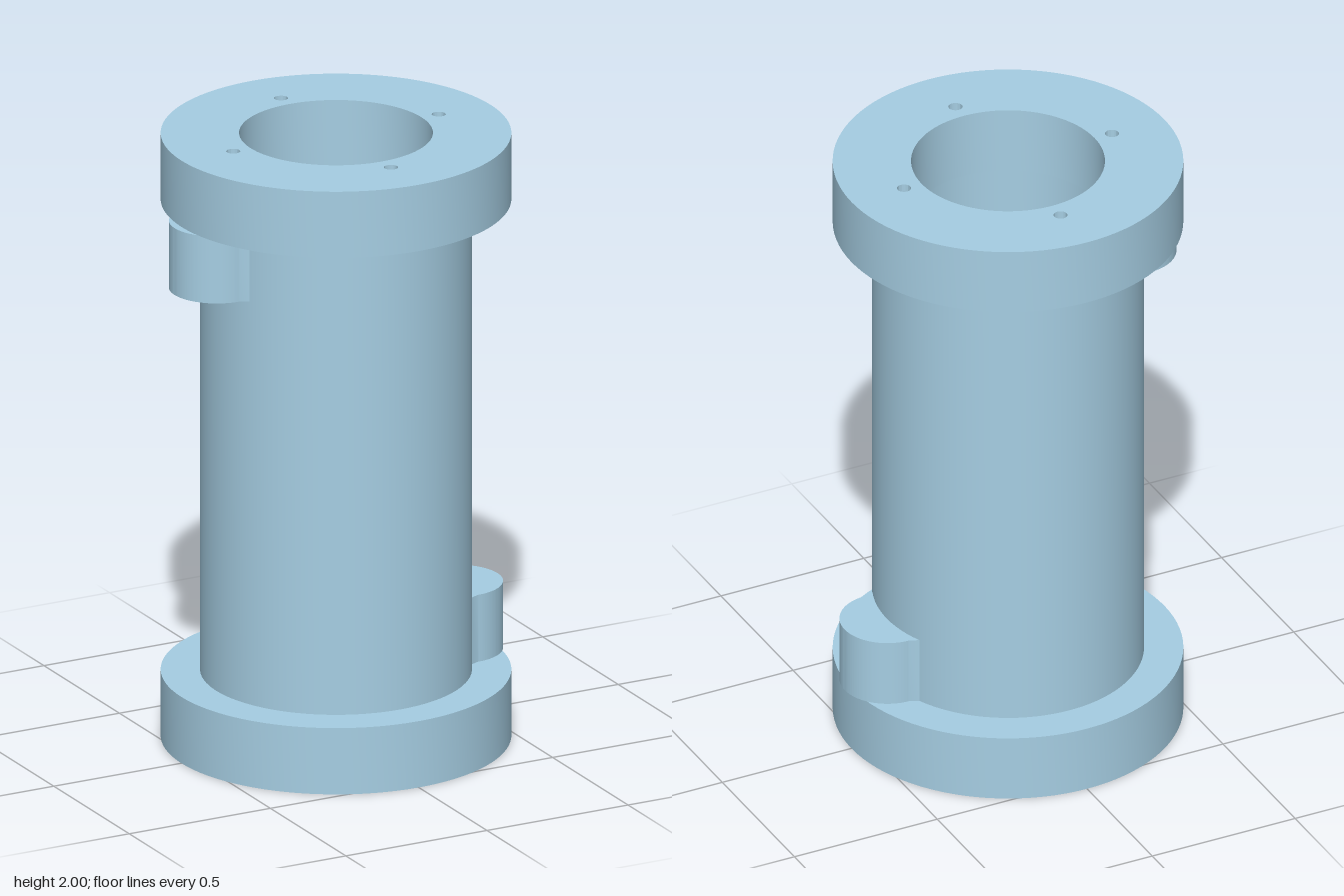
import * as THREE from 'three';
import { toCreasedNormals } from 'three/addons/utils/BufferGeometryUtils.js';

const FLANGE_R = 0.548, BODY_R = 0.425, BORE_R = 0.303;
const BOLT_R = 0.022, BOLT_CIRCLE = 0.364;
const HEIGHT = 2, FLANGE_H = 0.22, BOSS_H = 0.222;

const material = new THREE.MeshStandardMaterial({ color: 0xa6cee3 });

// Extrude a plan-view shape upwards from y = 0, smooth on the round walls
function extrudeUp(shape, height) {
  const geo = new THREE.ExtrudeGeometry(shape, { depth: height, bevelEnabled: false, curveSegments: 48 });
  geo.rotateX(-Math.PI / 2);
  return toCreasedNormals(geo, 0.4);
}

// Disc with the central bore and four bolt holes running through it
function boredDisc(radius) {
  const shape = new THREE.Shape().absarc(0, 0, radius, 0, Math.PI * 2);
  shape.holes.push(new THREE.Path().absarc(0, 0, BORE_R, 0, Math.PI * 2, true));
  for (let i = 0; i < 4; i++) {
    const a = i * Math.PI / 2;
    shape.holes.push(new THREE.Path().absarc(
      BOLT_CIRCLE * Math.cos(a), BOLT_CIRCLE * Math.sin(a), BOLT_R, 0, Math.PI * 2, true));
  }
  return shape;
}

// Half-round port boss with a flared foot that follows the barrel wall
function bossShape() {
  const a = 0.4, r = 0.15, cx = 0.422, wall = BODY_R - 0.003;
  const shape = new THREE.Shape();
  shape.moveTo(wall * Math.cos(a), -wall * Math.sin(a));
  shape.lineTo(cx, -r);
  shape.absarc(cx, 0, r, -Math.PI / 2, Math.PI / 2);
  shape.lineTo(wall * Math.cos(a), wall * Math.sin(a));
  shape.absarc(0, 0, wall, a, -a, true);
  return shape;
}

export function createModel() {
  const model = new THREE.Group();
  model.name = 'flangedCylinder';

  const add = (name, geometry, y, turn = 0) => {
    const mesh = new THREE.Mesh(geometry, material);
    mesh.name = name;
    mesh.position.y = y;
    mesh.rotation.y = turn;
    model.add(mesh);
  };

  // Barrel between the flanges
  add('barrel', extrudeUp(boredDisc(BODY_R), HEIGHT - 2 * FLANGE_H), FLANGE_H);

  // End flanges
  const flange = extrudeUp(boredDisc(FLANGE_R), FLANGE_H);
  add('bottomFlange', flange, 0);
  add('topFlange', flange, HEIGHT - FLANGE_H);

  // Port bosses on opposite sides, one at each end
  const boss = extrudeUp(bossShape(), BOSS_H);
  add('lowerBoss', boss, FLANGE_H);
  add('upperBoss', boss, HEIGHT - FLANGE_H - BOSS_H, Math.PI);

  return model;
}
